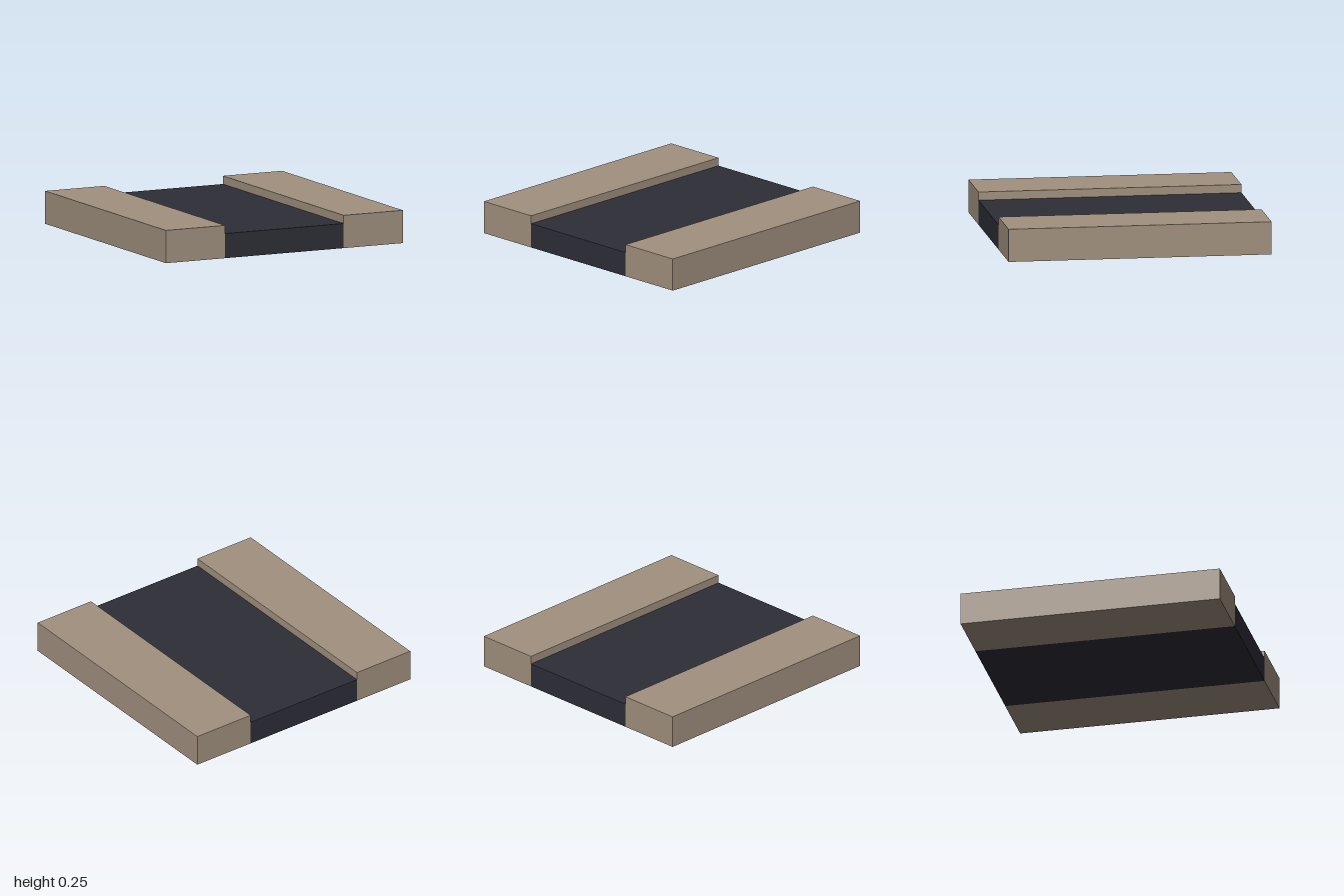
import * as THREE from 'three';

const LENGTH = 2;

export function createModel() {
  const group = new THREE.Group();
  group.name = 'roadTile';

  const pavementTan = new THREE.MeshStandardMaterial({ color: 0xa0907e });
  pavementTan.name = 'pavementTan';
  const asphalt = new THREE.MeshStandardMaterial({ color: 0x2d2d37 });
  asphalt.name = 'asphalt';

  // Full-length slab standing on the ground
  const addSlab = (name, width, height, x, material) => {
    const slab = new THREE.Mesh(new THREE.BoxGeometry(width, height, LENGTH), material);
    slab.name = name;
    slab.position.set(x, height / 2, 0);
    group.add(slab);
  };

  // Sunken roadway between two raised pavements
  addSlab('roadway', 1, 0.1875, 0, asphalt);
  addSlab('leftPavement', 0.5, 0.25, 0.75, pavementTan);
  addSlab('rightPavement', 0.5, 0.25, -0.75, pavementTan);

  return group;
}
